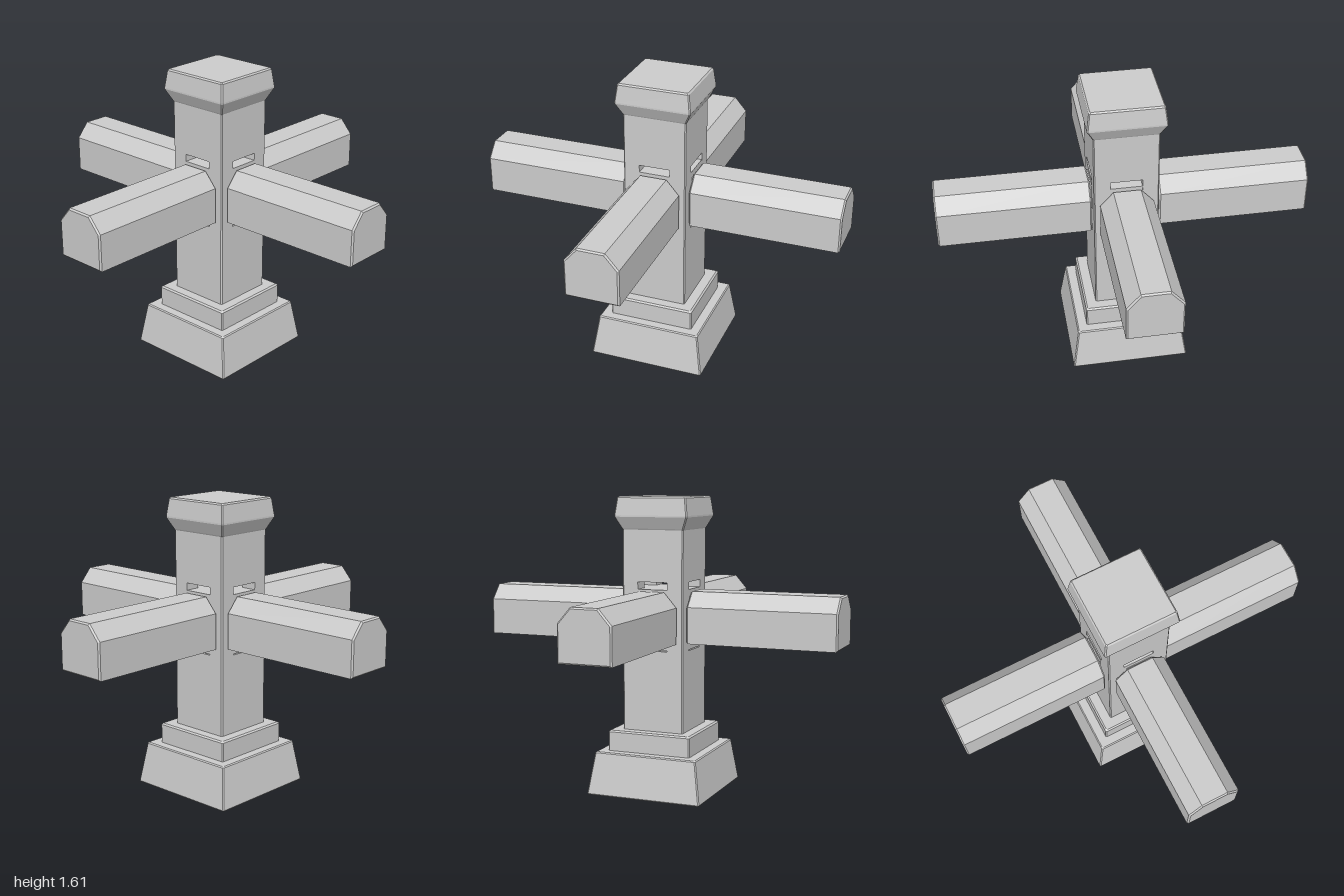
import * as THREE from 'three';

const material = new THREE.MeshStandardMaterial({ color: 0xcccccc, flatShading: true });

function addMesh(parent, geometry, name) {
  const mesh = new THREE.Mesh(geometry, material);
  mesh.name = name;
  parent.add(mesh);
  return mesh;
}

function addBox(parent, name, w, y0, y1, d, x = 0, z = 0) {
  const box = addMesh(parent, new THREE.BoxGeometry(w, y1 - y0, d), name);
  box.position.set(x, (y0 + y1) / 2, z);
  return box;
}

// Closed square block with clipped corners; rings are [y, half width] from bottom to top
function squareLoft(rings, clip = 0.006) {
  const positions = [];
  const index = [];
  for (const [y, h] of rings) {
    const k = h - clip;
    const plan = [[h, -k], [h, k], [k, h], [-k, h], [-h, k], [-h, -k], [-k, -h], [k, -h]];
    for (const [x, z] of plan) positions.push(x, y, z);
  }
  for (let r = 0; r < rings.length - 1; r++) {
    for (let i = 0; i < 8; i++) {
      const a = r * 8 + i;
      const b = r * 8 + (i + 1) % 8;
      index.push(a, a + 8, b, b, a + 8, b + 8);
    }
  }
  const top = (rings.length - 1) * 8;
  for (let i = 1; i < 7; i++) {
    index.push(0, i, i + 1);
    index.push(top, top + i + 1, top + i);
  }
  const geometry = new THREE.BufferGeometry();
  geometry.setAttribute('position', new THREE.Float32BufferAttribute(positions, 3));
  geometry.setIndex(index);
  geometry.computeVertexNormals();
  return geometry;
}

// Beam profile: flat underside, sloped shoulders
function armGeometry(start, end) {
  const bevel = 0.008;
  const shape = new THREE.Shape([
    [-0.143, 0.83], [0.143, 0.83], [0.143, 1.025], [0.073, 1.105], [-0.073, 1.105], [-0.143, 1.025],
  ].map(([x, y]) => new THREE.Vector2(x, y)));
  const geometry = new THREE.ExtrudeGeometry(shape, {
    depth: end - start - 2 * bevel,
    bevelEnabled: true,
    bevelSize: bevel,
    bevelThickness: bevel,
    bevelOffset: -bevel,
    bevelSegments: 1,
  });
  return geometry.translate(0, 0, start + bevel);
}

export function createModel() {
  const model = new THREE.Group();
  model.name = 'crossBeamPost';

  // Stepped foot
  addMesh(model, squareLoft([[0, 0.32], [0.006, 0.324], [0.228, 0.29], [0.234, 0.284]]), 'base');
  addMesh(model, squareLoft([[0.22, 0.235], [0.338, 0.235], [0.346, 0.226]]), 'plinth');

  // Post, pierced by slots in both directions
  const half = 0.173;
  const slot = 0.085;
  const slotBottom = 0.785;
  const slotTop = 1.155;
  const post = new THREE.Group();
  post.name = 'post';
  model.add(post);
  addMesh(post, squareLoft([[0.33, half], [slotBottom, half]]), 'lowerPost');
  addMesh(post, squareLoft([[slotTop, half], [1.45, half]]), 'upperPost');
  const outline = new THREE.Shape([
    [slot, slot], [half, slot], [half, half - 0.006], [half - 0.006, half], [slot, half],
  ].map(([x, y]) => new THREE.Vector2(x, y)));
  const corner = new THREE.ExtrudeGeometry(outline, { depth: slotTop - slotBottom, bevelEnabled: false });
  corner.rotateX(-Math.PI / 2).translate(0, slotBottom, 0);
  for (let i = 0; i < 4; i++) addMesh(post, corner, 'slotCorner').rotation.y = i * Math.PI / 2;

  // Flared cap
  addMesh(model, squareLoft([
    [1.43, 0.172], [1.438, 0.177], [1.5, 0.207], [1.508, 0.207], [1.6, 0.195], [1.608, 0.188],
  ]), 'cap');

  // Tenons crossing inside the post, with necks out to the arms
  for (let i = 0; i < 2; i++) {
    const tenon = new THREE.Group();
    tenon.name = 'tenon';
    tenon.rotation.y = i * Math.PI / 2;
    addBox(tenon, 'tenonBlock', 2 * slot, 0.79, 1.115, 2 * half - 0.002);
    addBox(tenon, 'tenonNeck', 0.14, 0.85, 1.08, 0.4);
    model.add(tenon);
  }

  // Four arms
  const arm = armGeometry(0.181, 1);
  ['frontArm', 'leftArm', 'backArm', 'rightArm'].forEach((name, i) => {
    addMesh(model, arm, name).rotation.y = i * Math.PI / 2;
  });
  return model;
}
